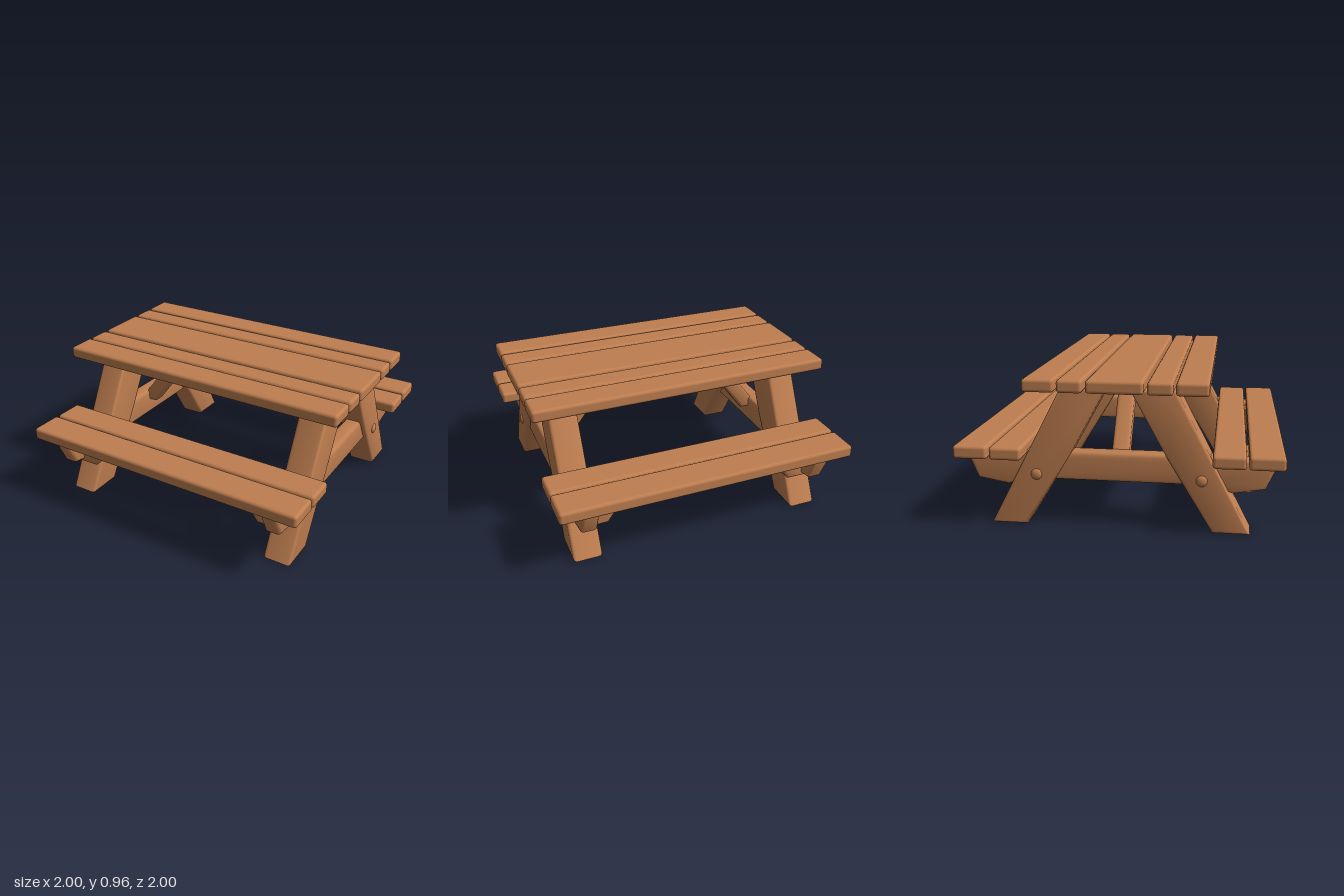
import * as THREE from 'three';
import { toCreasedNormals } from 'three/addons/utils/BufferGeometryUtils.js';
import { RoundedBoxGeometry } from 'three/addons/geometries/RoundedBoxGeometry.js';

const wood = new THREE.MeshStandardMaterial({ color: 0xbf7e50 });
wood.name = 'warm brown wood';

export function createModel() {
  const model = new THREE.Group();
  model.name = 'picnicTable';

  const add = (name, geometry, x = 0, y = 0, z = 0) => {
    const mesh = new THREE.Mesh(geometry, wood);
    mesh.name = name;
    mesh.position.set(x, y, z);
    model.add(mesh);
    return mesh;
  };

  // Softly bevelled timber: a 2D outline given a thickness, centred on its depth
  const timber = (points, width, bevel = 0.022) => {
    const shape = new THREE.Shape(points.map(([a, b]) => new THREE.Vector2(a, b)));
    const geometry = new THREE.ExtrudeGeometry(shape, {
      depth: width - 2 * bevel, bevelEnabled: true, bevelSize: bevel,
      bevelThickness: bevel, bevelOffset: -bevel, bevelSegments: 3,
    });
    geometry.translate(0, 0, -width / 2 + bevel);
    return toCreasedNormals(geometry, 0.8);
  };
  // Outline given as [z, y], thickness along x
  const sideTimber = (points, width, bevel) =>
    timber(points, width, bevel).rotateY(-Math.PI / 2);

  // Plank running along x between two z values
  const plank = (name, z0, z1, y0, y1, length) =>
    add(name, new RoundedBoxGeometry(length, y1 - y0, z1 - z0, 3, 0.02),
      0, (y0 + y1) / 2, (z0 + z1) / 2);

  // Table top
  plank('middleTopPlank', -0.17, 0.17, 0.88, 0.96, 2);
  for (const s of [-1, 1]) {
    const span = (name, a, b, y0, y1, length) =>
      plank(name, Math.min(s * a, s * b), Math.max(s * a, s * b), y0, y1, length);
    span('innerTopPlank', 0.19, 0.342, 0.88, 0.958, 2);
    span('outerTopPlank', 0.357, 0.55, 0.88, 0.96, 2);

    // Bench
    span('innerBenchPlank', 0.575, 0.773, 0.45, 0.53, 1.968);
    span('outerBenchPlank', 0.787, 1, 0.45, 0.533, 1.968);
  }

  for (const sx of [-1, 1]) {
    for (const sz of [-1, 1]) {
      // Slanted leg
      add('leg', sideTimber([
        [0.81 * sz, 0], [0.58 * sz, 0], [0.29 * sz, 0.48], [0.07 * sz, 0.885], [0.35 * sz, 0.885],
      ], 0.19), sx * 0.775);

      // Bolt head on the outside of the leg
      const bolt = add('bolt', new THREE.SphereGeometry(0.036, 16, 10), sx * 0.867, 0.335, sz * 0.51);
      bolt.scale.x = 0.55;

      // Short strut between the cross beam and the bench
      add('benchStrut', timber([
        [sx * 0.79, 0.25], [sx * 0.635, 0.25], [sx * 0.485, 0.46], [sx * 0.62, 0.46],
      ], 0.1), 0, 0, sz * 0.77);
    }

    // Cross beam carrying the benches, with shaped ends
    add('crossBeam', sideTimber([
      [-0.95, 0.455], [-0.945, 0.4], [-0.895, 0.285], [-0.7, 0.25], [-0.56, 0.295],
      [0.56, 0.295], [0.7, 0.25], [0.895, 0.285], [0.945, 0.4], [0.95, 0.455],
      [0.56, 0.48], [-0.56, 0.48],
    ], 0.11), sx * 0.785);

    // Diagonal brace from the cross beam to the table top
    add('topBrace', timber([
      [sx * 0.3, 0.89], [sx * 0.43, 0.89], [sx * 0.81, 0.4], [sx * 0.68, 0.4],
    ], 0.11));
  }
  return model;
}
